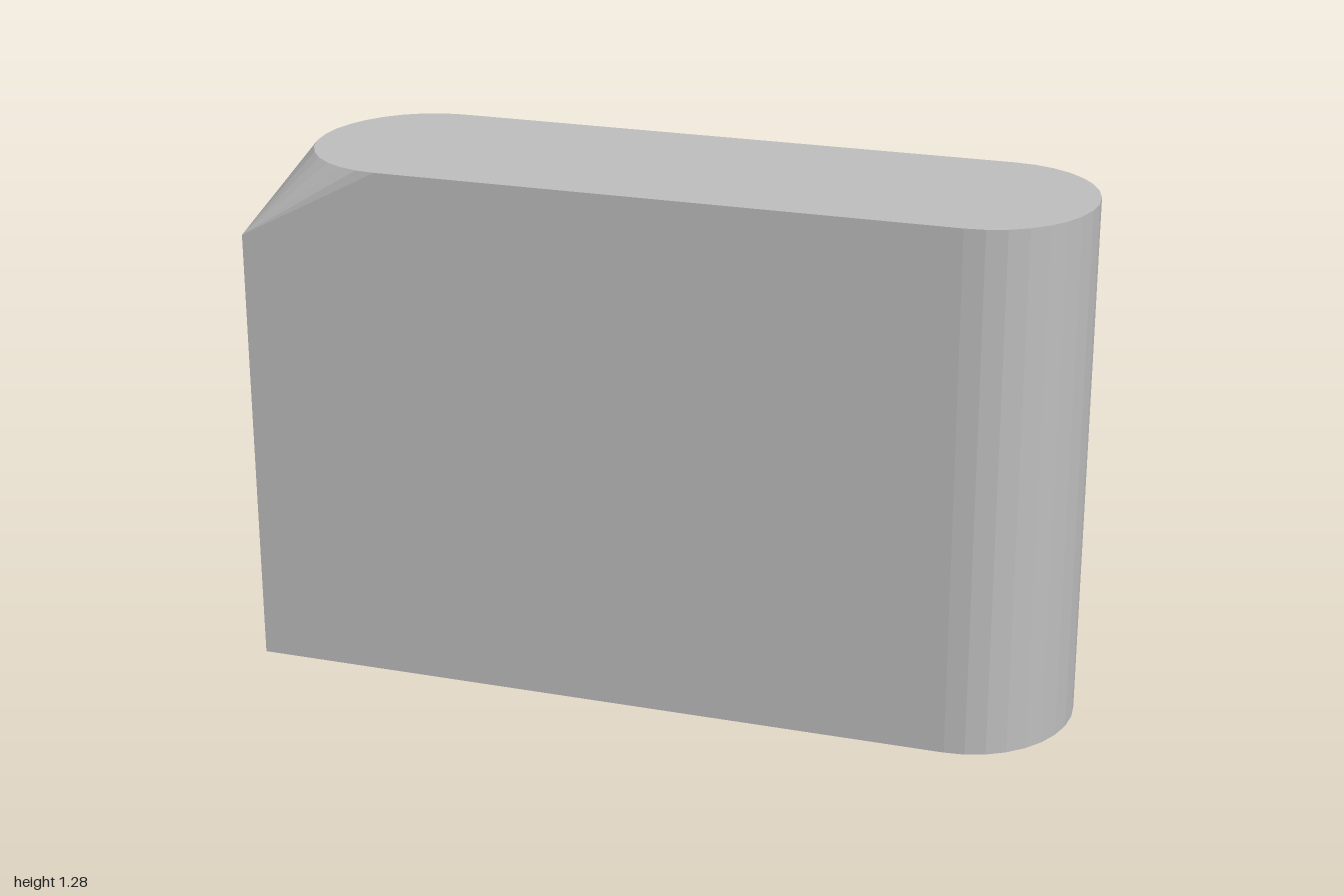
import * as THREE from 'three';
import { ConvexGeometry } from 'three/addons/geometries/ConvexGeometry.js';

const HEIGHT = 1.285;
const STEPS = 16;

// Half-ellipse of points at one height; side = 1 bulges to +x, -1 to -x
function endArc(cx, cz, y, side) {
  const points = [];
  for (let i = 0; i <= STEPS; i++) {
    const a = (i / STEPS) * Math.PI;
    points.push(new THREE.Vector3(cx + side * 0.25 * Math.sin(a), y, cz + 0.275 * Math.cos(a)));
  }
  return points;
}

export function createModel() {
  const grey = new THREE.MeshStandardMaterial({ color: 0xbfbfbf });
  grey.name = 'grey';

  const points = [
    // rounded end, top and bottom rims
    ...endArc(0.75, 0.025, HEIGHT, 1),
    ...endArc(0.75, 0.025, 0, 1),
    // backward bulge between the two chamfers
    ...endArc(0.71, -0.025, 1.195, 1),
    ...endArc(0.71, -0.025, 0.09, 1),
    // rounded top rim at the square end
    ...endArc(-0.65, 0.025, HEIGHT, -1),
  ];
  // square end corners
  for (const y of [0, 1.1]) {
    for (const z of [-0.25, 0.3]) points.push(new THREE.Vector3(-1, y, z));
  }

  const body = new THREE.Mesh(new ConvexGeometry(points), grey);
  body.name = 'body';

  const group = new THREE.Group();
  group.name = 'chamferedBlock';
  group.add(body);
  return group;
}
